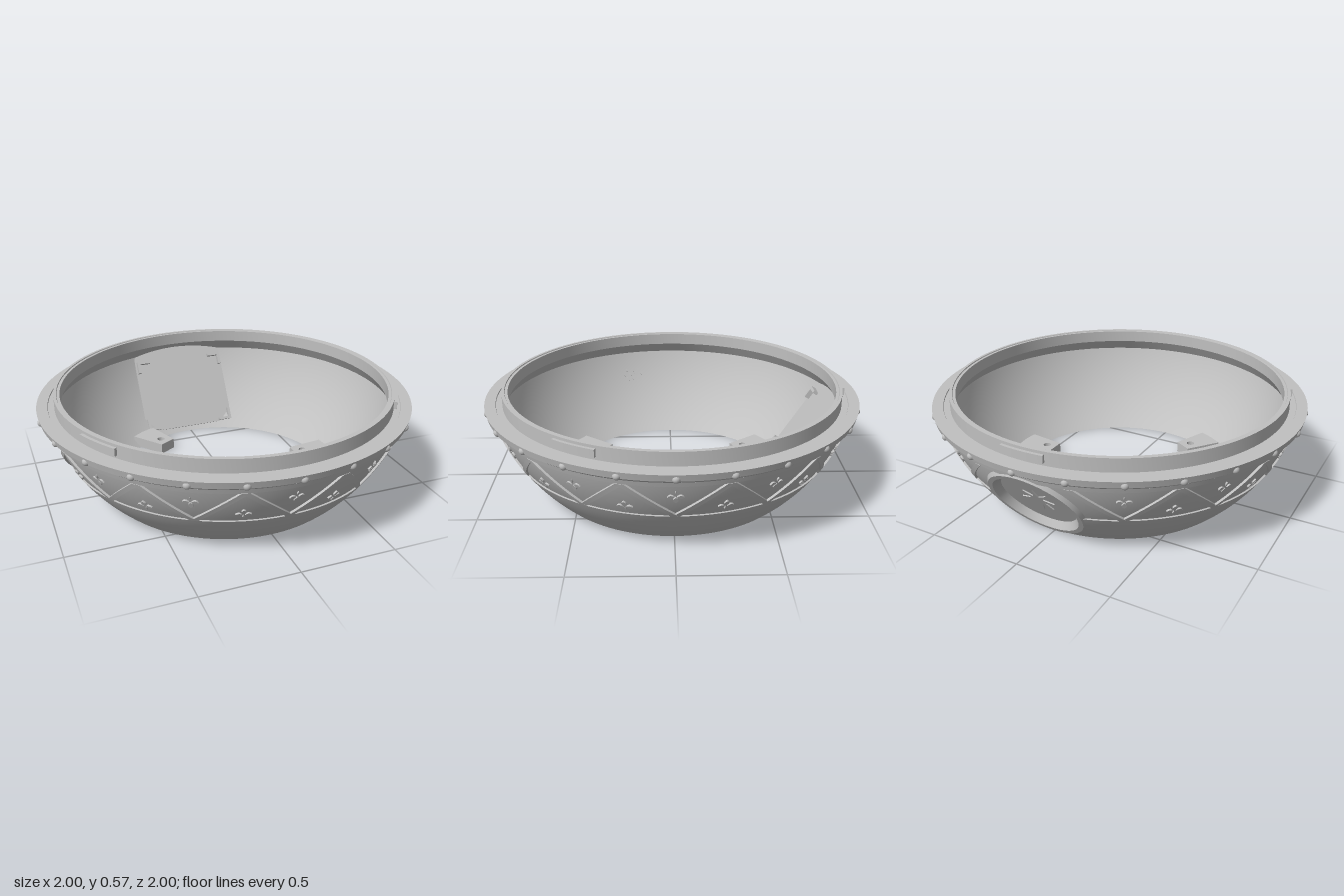
import * as THREE from 'three';
import { toCreasedNormals } from 'three/addons/utils/BufferGeometryUtils.js';

const grey = new THREE.MeshStandardMaterial({ color: 0xc0c0c0 });
grey.name = 'grey';

const CY = 0.75;            // height of the bowl's sphere centre
const R_OUT = 1.006, R_IN = 0.9636;
const PORT_TILT = 0.567;    // how far the rear port points below horizontal
const portAxis = new THREE.Vector3(0, -Math.sin(PORT_TILT), -Math.cos(PORT_TILT));
const V = (x, y) => new THREE.Vector2(x, y);
const radiusAt = (y, R) => Math.sqrt(R * R - (y - CY) ** 2);

function add(parent, name, geometry) {
  const mesh = new THREE.Mesh(geometry, grey);
  mesh.name = name;
  parent.add(mesh);
  return mesh;
}

// Points of a spherical profile between two heights
function arc(y0, y1, R, n) {
  return Array.from({ length: n + 1 }, (_, i) => {
    const y = y0 + (y1 - y0) * i / n;
    return V(radiusAt(y, R), y);
  });
}

const lathe = (points, segments = 160) => toCreasedNormals(new THREE.LatheGeometry(points, segments), 0.5);

// Lathe with a round opening left out for the rear port
function latheWithPort(points, holeRadius) {
  const g = new THREE.LatheGeometry(points, 256);
  const pos = g.attributes.position, old = g.index.array, kept = [];
  const c = new THREE.Vector3(), p = new THREE.Vector3();
  for (let i = 0; i < old.length; i += 3) {
    c.set(0, 0, 0);
    for (let k = 0; k < 3; k++) c.add(p.fromBufferAttribute(pos, old[i + k]));
    c.divideScalar(3).sub(p.set(0, CY, 0));
    const d = c.dot(portAxis);
    if (d < 0 || Math.sqrt(c.lengthSq() - d * d) > holeRadius) kept.push(old[i], old[i + 1], old[i + 2]);
  }
  g.setIndex(kept);
  return toCreasedNormals(g, 0.5);
}

// Point on the bowl; theta 0 is the front
function onBowl(theta, y, R) {
  const e = Math.asin((y - CY) / R_OUT);
  return new THREE.Vector3(R * Math.cos(e) * Math.sin(theta), CY + R * Math.sin(e), R * Math.cos(e) * Math.cos(theta));
}

// Slanted rib that follows the bowl
function ribGeometry(thetaTop, thetaBottom) {
  const g = new THREE.BoxGeometry(0.036, 1, 0.02, 1, 10, 1);
  const pos = g.attributes.position;
  for (let i = 0; i < pos.count; i++) {
    const t = pos.getY(i) + 0.5;
    const theta = thetaBottom + (thetaTop - thetaBottom) * t + pos.getX(i) / 0.9;
    const p = onBowl(theta, 0.22 + 0.205 * t, R_OUT - 0.008 + pos.getZ(i));
    pos.setXYZ(i, p.x, p.y, p.z);
  }
  g.computeVertexNormals();
  return g;
}

// Three petals and a stem
function flowerGeometry() {
  const petal = (angle, length, width) => {
    const s = new THREE.Shape();
    const at = (u, v) => [u * Math.cos(angle) - v * Math.sin(angle), u * Math.sin(angle) + v * Math.cos(angle)];
    s.moveTo(...at(0.006, 0));
    s.quadraticCurveTo(...at(length * 0.6, width), ...at(length, 0));
    s.quadraticCurveTo(...at(length * 0.6, -width), ...at(0.006, 0));
    return s;
  };
  const shapes = [petal(Math.PI / 2, 0.042, 0.024), petal(0.1, 0.038, 0.022),
    petal(Math.PI - 0.1, 0.038, 0.022), petal(-Math.PI / 2, 0.034, 0.009)];
  return new THREE.ExtrudeGeometry(shapes, { depth: 0.01, bevelEnabled: false, curveSegments: 5 });
}

// Extrude a plan shape upwards
function slab(shape, height) {
  const g = new THREE.ExtrudeGeometry(shape, { depth: height, bevelEnabled: false, curveSegments: 20 });
  return g.rotateX(-Math.PI / 2);
}

export function createModel() {
  const model = new THREE.Group();
  model.name = 'bowlRing';

  // Shell, with a shallow ornamental band around the outside
  add(model, 'outerWall', latheWithPort([
    V(0.605, 0), ...arc(0, 0.22, R_OUT, 12), ...arc(0.221, 0.424, R_OUT - 0.009, 11),
    ...arc(0.425, 0.45, R_OUT, 2)], 0.243));
  add(model, 'rim', lathe([
    V(radiusAt(0.45, R_OUT), 0.45), V(0.988, 0.47), V(0.997, 0.505), V(0.94, 0.505), V(0.938, 0.5), V(0.905, 0.5),
    V(0.905, 0.57), V(0.89, 0.57), V(0.888, 0.565), V(0.873, 0.565), V(0.873, 0.5), V(radiusAt(0.44, R_IN), 0.44)]));
  add(model, 'innerWall', latheWithPort(arc(0.44, 0, R_IN, 24), 0.2));

  // Rivets around the rim
  const rivet = new THREE.SphereGeometry(0.02, 14, 10);
  for (let i = 0; i < 24; i++) {
    const a = i * Math.PI / 12;
    add(model, 'rivet', rivet).position.set(0.982 * Math.sin(a), 0.48, 0.982 * Math.cos(a));
  }

  // Zigzag ribs with a flower in every triangle
  const step = Math.PI / 12;
  const flower = flowerGeometry();
  for (let i = 0; i < 24; i++) {
    const down = i % 2 === 0;
    if (Math.abs(i - 12) > 1) {
      const f = add(model, 'flower', flower);
      const y = down ? 0.36 : 0.27;
      f.position.copy(onBowl(i * step, y, R_OUT - 0.011));
      f.lookAt(onBowl(i * step, y, 2));
      if (down) f.rotateZ(Math.PI);
    }
    if (i !== 11 && i !== 12) {
      const a = i * step, b = (i + 1) * step;
      add(model, 'zigzagRib', down ? ribGeometry(b, a) : ribGeometry(a, b));
    }
  }

  // Locking tabs on the collar
  const tab = new THREE.Shape();
  tab.absarc(0, 0, 0.921, -0.127, 0.127, false);
  tab.absarc(0, 0, 0.9, 0.127, -0.127, true);
  const tabGeo = slab(tab, 0.04);
  for (const a of [Math.PI / 2, -Math.PI / 6, -Math.PI * 5 / 6]) {
    const m = add(model, 'lockingTab', tabGeo);
    m.position.y = 0.516;
    m.rotation.y = a;
  }

  // Mounting feet with screw holes
  const foot = new THREE.Shape([V(0.44, -0.052), V(0.648, -0.08), V(0.655, 0), V(0.648, 0.08), V(0.44, 0.052)]);
  const screwHole = new THREE.Path();
  screwHole.absarc(0.498, 0, 0.022, 0, Math.PI * 2, true);
  foot.holes.push(screwHole);
  const footGeo = slab(foot, 0.06);
  for (let i = 0; i < 3; i++) {
    add(model, 'mountingFoot', footGeo).rotation.y = i * Math.PI * 2 / 3;
  }

  // Rear port: local y points outwards, local z up along the wall
  const port = new THREE.Group();
  port.name = 'rearPort';
  port.position.y = CY;
  port.rotation.x = Math.atan2(portAxis.z, portAxis.y);
  model.add(port);
  add(port, 'portDish', lathe([V(0.264, 0.962), V(0.25, 0.981), V(0.226, 0.981), V(0.2, 0.945), V(0, 0.945)], 64));
  const star = new THREE.Shape(Array.from({ length: 16 }, (_, i) => {
    const r = i % 2 ? 0.036 : 0.09, a = i * Math.PI / 8;
    return V(r * Math.cos(a), r * Math.sin(a));
  }));
  add(port, 'star', slab(star, 0.007)).position.y = 0.944;

  // Flat panel inside the wall, with a corner clip at each corner
  add(port, 'innerPanel', new THREE.BoxGeometry(0.57, 0.015, 0.53)).position.set(0, 0.9075, -0.015);
  for (const sx of [-1, 1]) {
    for (const [z, inward] of [[-0.268, 1], [0.16, -1]]) {
      add(port, 'cornerClip', new THREE.BoxGeometry(0.08, 0.03, 0.016)).position.set(sx * 0.235, 0.887, z);
      add(port, 'cornerClip', new THREE.BoxGeometry(0.016, 0.03, 0.07)).position.set(sx * 0.267, 0.887, z + inward * 0.03);
    }
  }

  // Cluster of small studs on the inside wall
  const stud = new THREE.CylinderGeometry(0.011, 0.011, 0.008, 10).rotateX(Math.PI / 2);
  for (let row = -1; row <= 1; row++) {
    const n = row === 0 ? 4 : 3;
    for (let k = 0; k < n; k++) {
      const theta = -1.29 + (k - (n - 1) / 2) * 0.042, y = 0.29 + row * 0.026;
      const m = add(model, 'wallStud', stud);
      m.position.copy(onBowl(theta, y, R_IN));
      m.lookAt(0, CY, 0);
    }
  }
  return model;
}
